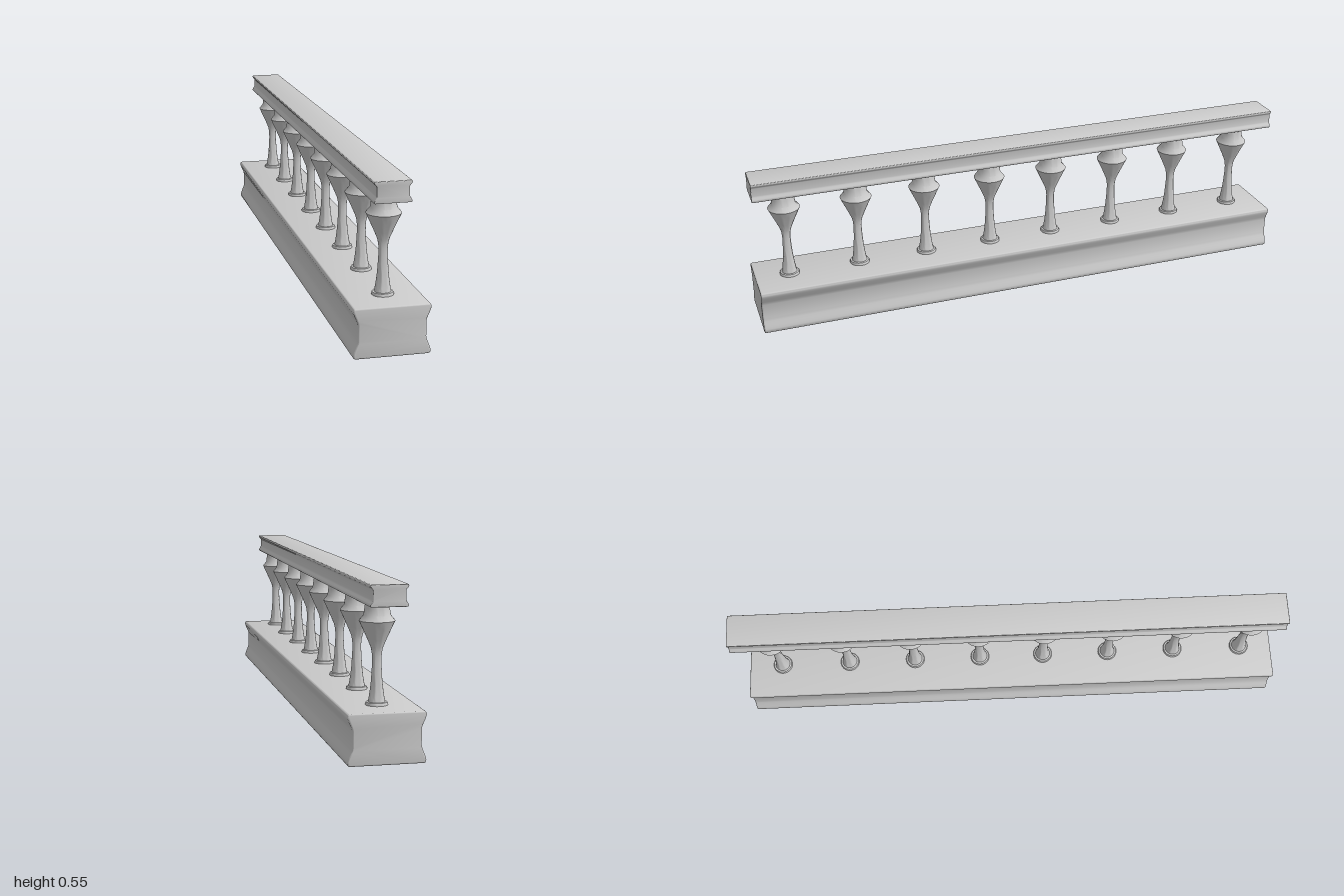
import * as THREE from 'three';
import { toCreasedNormals } from 'three/addons/utils/BufferGeometryUtils.js';

const material = new THREE.MeshStandardMaterial({ color: 0xcccccc });

// Long beam along z with a waisted cross-section and softly rounded ends
function beam(name, { half, waist, y0, y1, waistLow, waistHigh, x, z0, z1, round }) {
  const s = new THREE.Shape();
  const r = round;
  // right side going up, then the left side mirrored going down
  s.moveTo(half - r, y0);
  s.quadraticCurveTo(half, y0, half, y0 + r);
  s.bezierCurveTo(half, y0 + 2 * r, waist, waistLow - r, waist, waistLow);
  s.lineTo(waist, waistHigh);
  s.bezierCurveTo(waist, waistHigh + r, half, y1 - 2 * r, half, y1 - r);
  s.quadraticCurveTo(half, y1, half - r, y1);
  s.lineTo(-half + r, y1);
  s.quadraticCurveTo(-half, y1, -half, y1 - r);
  s.bezierCurveTo(-half, y1 - 2 * r, -waist, waistHigh + r, -waist, waistHigh);
  s.lineTo(-waist, waistLow);
  s.bezierCurveTo(-waist, waistLow - r, -half, y0 + 2 * r, -half, y0 + r);
  s.quadraticCurveTo(-half, y0, -half + r, y0);
  s.closePath();

  const bevel = r * 0.5;
  const geo = new THREE.ExtrudeGeometry(s, {
    depth: z1 - z0 - 2 * bevel, curveSegments: 6,
    bevelEnabled: true, bevelSize: bevel, bevelThickness: bevel, bevelOffset: -bevel, bevelSegments: 3,
  });
  geo.translate(x, 0, z0 + bevel);
  const mesh = new THREE.Mesh(toCreasedNormals(geo, 0.6), material);
  mesh.name = name;
  return mesh;
}

// Turned baluster outline: [radius, height]
const outline = [
  [0, 0.155], [0.035, 0.155], [0.035, 0.166], [0.033, 0.170], [0.027, 0.171],
  [0.024, 0.186], [0.021, 0.206], [0.018, 0.232], [0.016, 0.262], [0.0145, 0.29],
  [0.0145, 0.312], [0.016, 0.326], [0.019, 0.34], [0.029, 0.364], [0.043, 0.395],
  [0.056, 0.423], [0.042, 0.44], [0.039, 0.462], [0.036, 0.484], [0, 0.484],
];

export function createModel() {
  const model = new THREE.Group();
  model.name = 'balustrade';

  model.add(beam('basePlinth', {
    half: 0.123, waist: 0.108, y0: 0, y1: 0.161, waistLow: 0.057, waistHigh: 0.108,
    x: -0.001, z0: -0.99, z1: 1, round: 0.01,
  }));
  model.add(beam('handRail', {
    half: 0.059, waist: 0.051, y0: 0.48, y1: 0.548, waistLow: 0.502, waistHigh: 0.53,
    x: -0.002, z0: -1, z1: 0.99, round: 0.005,
  }));

  // Row of eight balusters
  const lathe = new THREE.LatheGeometry(outline.map(([r, y]) => new THREE.Vector2(r, y)), 32);
  const balusterGeo = toCreasedNormals(lathe, 0.6);
  const balusters = new THREE.Group();
  balusters.name = 'balusters';
  [0.878, 0.623, 0.373, 0.126, -0.114, -0.361, -0.61, -0.865].forEach((z, i) => {
    const post = new THREE.Mesh(balusterGeo, material);
    post.name = `baluster${i + 1}`;
    post.position.set(0.001, 0, z);
    balusters.add(post);
  });
  model.add(balusters);
  return model;
}
